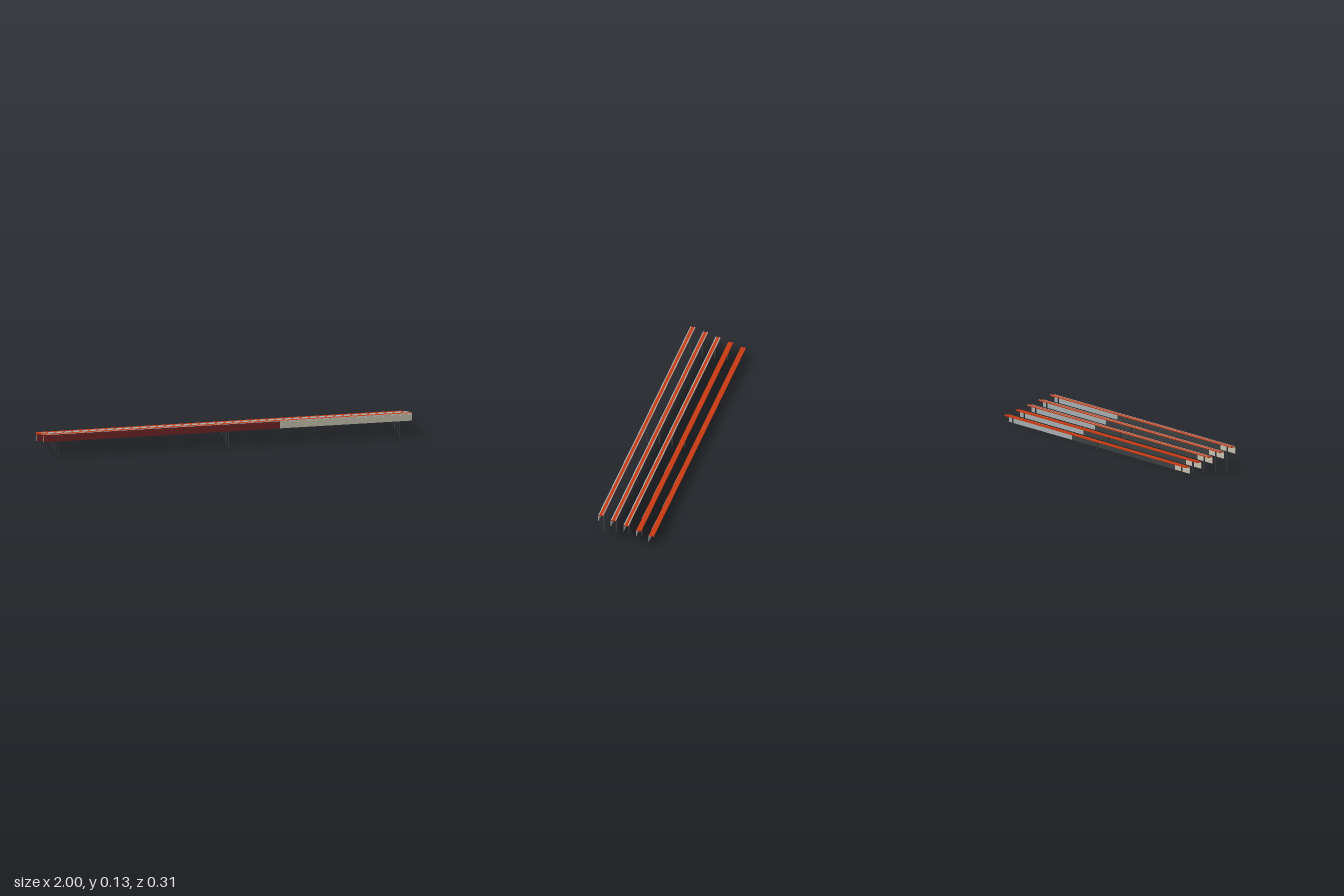
import * as THREE from 'three';

function mat(name, color) {
  const m = new THREE.MeshStandardMaterial({ color });
  m.name = name;
  return m;
}

export function createModel() {
  const orange = mat('seat orange', 0xc63a12);
  const darkRed = mat('dark red', 0x702426);
  const beige = mat('beige', 0xc4bfae);
  const steel = mat('blue grey', 0xa4acae);
  const charcoal = mat('charcoal', 0x3c3f41);

  const model = new THREE.Group();
  model.name = 'steppedBenches';

  // Box given by its limits on each axis
  function slab(parent, name, material, [x0, x1], [y0, y1], [z0, z1]) {
    const mesh = new THREE.Mesh(new THREE.BoxGeometry(x1 - x0, y1 - y0, z1 - z0), material);
    mesh.position.set((x0 + x1) / 2, (y0 + y1) / 2, (z0 + z1) / 2);
    mesh.name = name;
    parent.add(mesh);
  }

  const full = [-1, 1];
  const frontSplit = [[-1, 0.278, darkRed], [0.278, 1, beige]];
  const backSplit = [[-1, -0.835, beige], [-0.835, 0.3, charcoal], [0.3, 1, steel]];

  // Five rows, stepping down from front to back
  for (let i = 0; i < 5; i++) {
    const row = new THREE.Group();
    row.name = 'benchRow' + (i + 1);
    row.position.z = 0.1395 - 0.07 * i;
    model.add(row);
    const top = 0.1345 - 0.0218 * i;
    const under = top - 0.0058;

    // Seat plank
    slab(row, 'seat', orange, full, [under, top], [-0.0145, 0.013]);

    // Pale edge strips on the front three seats
    if (i < 3) {
      for (const [z0, z1] of [[-0.0145, -0.009], [0.0075, 0.013]]) {
        slab(row, 'seatEdgeStrip', steel, full, [top, top + 0.0004], [z0, z1]);
      }
    }

    // Painted seat edge and hanging board, front side
    for (const [x0, x1, m] of frontSplit) {
      slab(row, 'seatFrontEdge', m, [x0, x1], [under, top], [0.013, 0.0136]);
      slab(row, 'boardFront', m, [x0, x1], [under - 0.034, under], [0.0138, 0.015]);
    }

    // Board, back side
    for (const [x0, x1, m] of backSplit) {
      slab(row, 'boardBack', m, [x0, x1], [under - 0.034, under], [0.0126, 0.0138]);
    }

    // Posts
    for (const x of [-0.933, 0, 0.933]) {
      slab(row, 'post', charcoal, [x - 0.0025, x + 0.0025], [0, under], [-0.0035, 0.0035]);
    }
  }
  return model;
}
